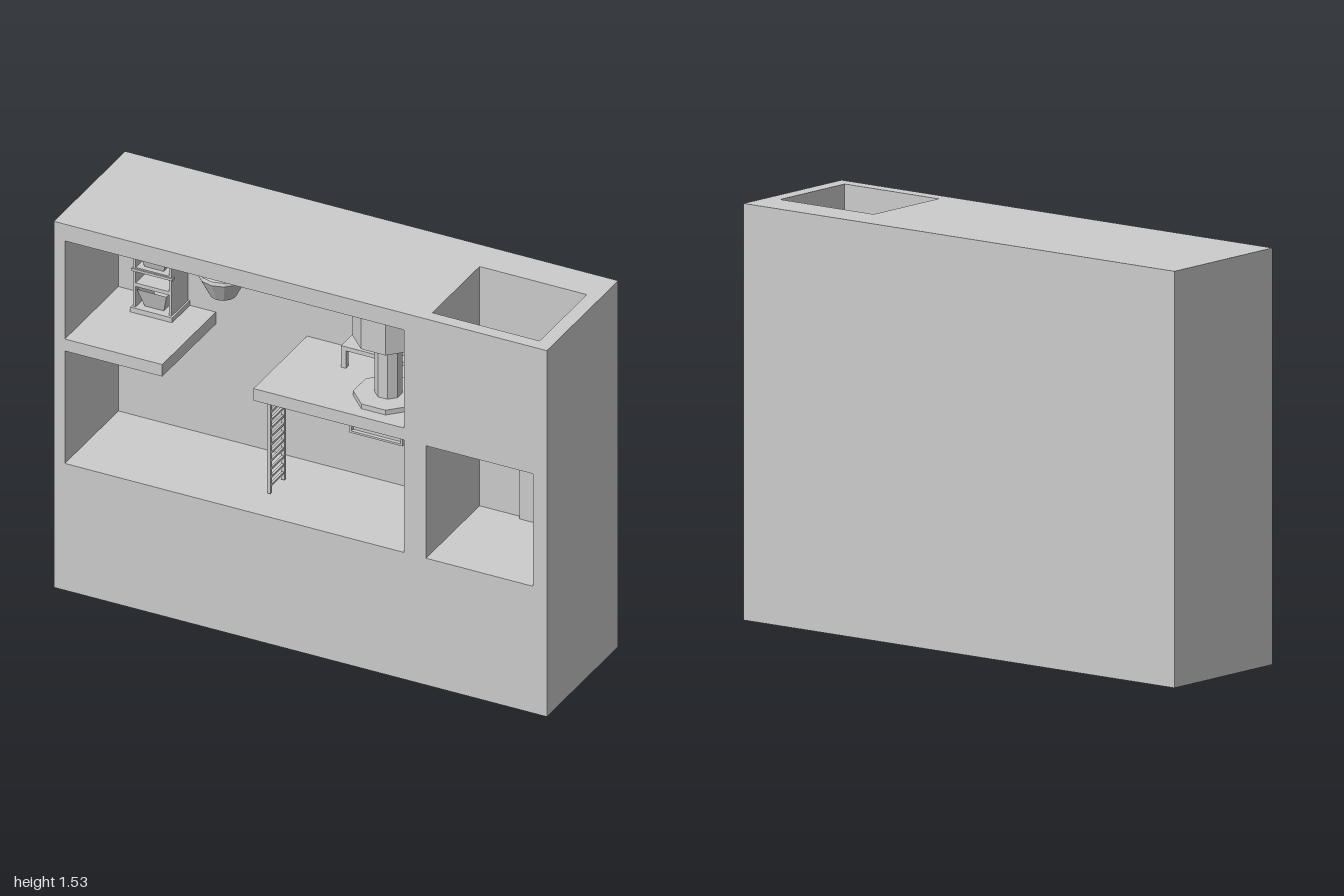
import * as THREE from 'three';

const material = new THREE.MeshStandardMaterial({ color: 0xcccccc, flatShading: true, side: THREE.DoubleSide });

function add(parent, name, geometry, x = 0, y = 0, z = 0) {
  const mesh = new THREE.Mesh(geometry, material);
  mesh.name = name;
  mesh.position.set(x, y, z);
  parent.add(mesh);
  return mesh;
}

// Box given by its limits along each axis
function slab(parent, name, x0, x1, y0, y1, z0, z1) {
  return add(parent, name, new THREE.BoxGeometry(x1 - x0, y1 - y0, z1 - z0),
    (x0 + x1) / 2, (y0 + y1) / 2, (z0 + z1) / 2);
}

function part(parent, name, x = 0, y = 0, z = 0) {
  const group = new THREE.Group();
  group.name = name;
  group.position.set(x, y, z);
  parent.add(group);
  return group;
}

// Upright octagonal prism with a flat side to the front
function octagon(parent, name, r, y0, y1) {
  const g = new THREE.CylinderGeometry(r, r, y1 - y0, 8).rotateY(Math.PI / 8);
  return add(parent, name, g, 0, (y0 + y1) / 2, 0);
}

const F = 0.28, BACK = -0.28, WALL = -0.14, FLOOR = 0.53, TOP = 1.53;

function buildShell(root) {
  const shell = part(root, 'houseShell');
  slab(shell, 'base', -1, 1, 0, FLOOR, BACK, F);
  slab(shell, 'backWall', -1, 1, FLOOR, TOP, BACK, WALL);
  slab(shell, 'leftWall', -1, -0.955, FLOOR, 1.46, WALL, F);
  slab(shell, 'ceiling', -1, 0.42, 1.46, TOP, WALL, F);
  slab(shell, 'dividingWall', 0.42, 0.51, FLOOR, TOP, WALL, F);
  slab(shell, 'rightWall', 0.945, 1, FLOOR, TOP, WALL, F);
  slab(shell, 'entranceFrontWall', 0.51, 0.945, 1.0, TOP, 0.23, F);
  slab(shell, 'leftLoft', -0.955, -0.56, 1.0, 1.05, WALL, F);
  slab(shell, 'rightLoft', -0.19, 0.42, 1.0, 1.05, WALL, F);
}

function buildLadder(root) {
  const ladder = part(root, 'ladder');
  for (const z of [0.03, 0.14]) slab(ladder, 'ladderRail', -0.203, -0.19, 0.54, 1.03, z - 0.007, z + 0.007);
  for (let i = 0; i < 14; i++) {
    const y = 0.565 + i * 0.034;
    slab(ladder, 'ladderRung', -0.201, -0.192, y, y + 0.009, 0.03, 0.14);
  }
}

function buildCabinet(root) {
  const cabinet = part(root, 'storageCabinet', -0.75, 1.05, 0);
  slab(cabinet, 'cabinetPlinth', -0.085, 0.085, 0, 0.02, -0.14, 0);
  slab(cabinet, 'cabinetBack', -0.078, 0.078, 0.02, 0.305, -0.14, -0.13);
  for (const s of [-1, 1]) {
    const x = s * 0.073;
    slab(cabinet, 'cabinetSide', x - 0.005, x + 0.005, 0.02, 0.305, -0.13, -0.01);
  }
  for (const [y0, y1] of [[0.105, 0.12], [0.17, 0.185], [0.275, 0.305]])
    slab(cabinet, 'cabinetShelf', -0.068, 0.068, y0, y1, -0.13, -0.01);
  slab(cabinet, 'cabinetLedge', -0.084, 0.084, 0.17, 0.18, -0.02, -0.005);

  // Tapered open bins, one in each compartment
  for (const y of [0.02, 0.185]) {
    const bin = new THREE.CylinderGeometry(0.085, 0.055, 0.075, 4, 1, true).rotateY(Math.PI / 4);
    add(cabinet, 'storageBin', bin, -0.003, y + 0.0375, -0.07);
    slab(cabinet, 'binBottom', -0.04, 0.034, y, y + 0.004, -0.107, -0.033);
  }
}

function buildLamp(root) {
  const lamp = part(root, 'ceilingLamp', -0.385, 0, 0.14);
  add(lamp, 'lampMount', new THREE.CylinderGeometry(0.1, 0.09, 0.012, 12), 0, 1.454, 0);
  add(lamp, 'lampStem', new THREE.CylinderGeometry(0.012, 0.012, 0.04, 8), 0, 1.43, 0);
  const profile = [[0, 1.425], [0.05, 1.42], [0.088, 1.415], [0.092, 1.402], [0.05, 1.32], [0, 1.32]]
    .map(([r, y]) => new THREE.Vector2(r, y)).reverse();
  add(lamp, 'lampShade', new THREE.LatheGeometry(profile, 12));
}

function buildFireplace(root) {
  const stove = part(root, 'hangingFireplace', 0.27, 0, 0.11);
  octagon(stove, 'stoveBase', 0.128, 1.05, 1.07);
  octagon(stove, 'stoveColumn', 0.05, 1.07, 1.3);
  octagon(stove, 'stoveHood', 0.13, 1.3, 1.46);
}

function buildDesk(root) {
  const desk = part(root, 'desk');
  slab(desk, 'deskTop', 0.02, 0.3, 1.123, 1.14, WALL, 0);
  for (const x of [0.02, 0.28]) for (const z of [WALL, -0.02])
    slab(desk, 'deskLeg', x, x + 0.02, 1.05, 1.123, z, z + 0.02);
  slab(desk, 'deskBox', 0.19, 0.28, 1.14, 1.18, -0.12, -0.04);
  slab(desk, 'deskScreen', 0.195, 0.275, 1.18, 1.22, -0.12, -0.1);
}

function buildWindow(root) {
  const frame = new THREE.Shape();
  frame.moveTo(-0.005, 0.71).lineTo(0.21, 0.71).lineTo(0.21, 0.92).lineTo(-0.005, 0.92).closePath();
  const hole = new THREE.Path();
  hole.moveTo(0.003, 0.718).lineTo(0.003, 0.915).lineTo(0.202, 0.915).lineTo(0.202, 0.718).closePath();
  frame.holes.push(hole);
  const pane = part(root, 'wallWindow');
  add(pane, 'windowFrame', new THREE.ExtrudeGeometry(frame, { depth: 0.025, bevelEnabled: false }), 0, 0, WALL);
  slab(pane, 'windowPane', 0.003, 0.202, 0.718, 0.915, WALL, -0.13);
  slab(pane, 'windowLintel', -0.008, 0.213, 0.92, 0.935, WALL, -0.112);
}

function buildDoor(root) {
  const door = part(root, 'entranceDoor');
  slab(door, 'doorLeaf', 0.68, 0.87, FLOOR, 0.865, WALL, -0.123);
  slab(door, 'doorHeader', 0.68, 0.87, 0.865, 0.89, WALL, -0.12);
  add(door, 'doorKnob', new THREE.SphereGeometry(0.013, 12, 8), 0.845, 0.69, -0.114);
}

export function createModel() {
  const root = new THREE.Group();
  root.name = 'cutawayHouse';
  for (const build of [buildShell, buildLadder, buildCabinet, buildLamp, buildFireplace, buildDesk, buildWindow, buildDoor])
    build(root);
  return root;
}
